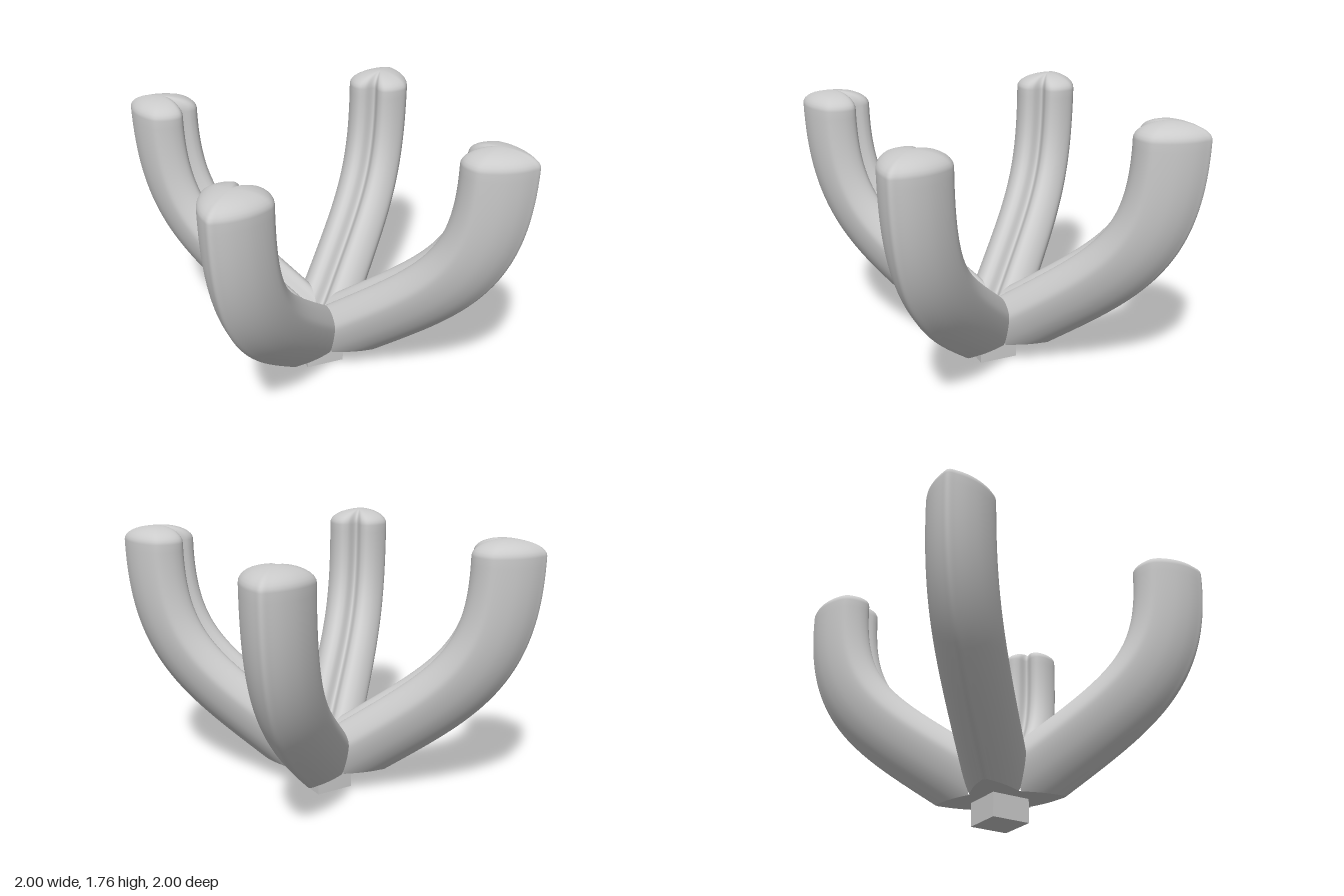
import * as THREE from 'three';

const BASE_Y = 0.157;
const SIDES = 96;

// Heart cross-section: x = outward offset, y = sideways offset
function heartProfile() {
  const half = [[-0.105, 0.05], [-0.12, 0.095], [-0.085, 0.157], [0, 0.21], [0.06, 0.207],
    [0.167, 0.166], [0.25, 0.106], [0.305, 0.043]];
  const pts = [[-0.05, 0], ...half, [0.33, 0], ...half.map(([u, s]) => [u, -s]).reverse()];
  const curve = new THREE.CatmullRomCurve3(pts.map(([u, s]) => new THREE.Vector3(u, s, 0)), true);
  return curve.getPoints(SIDES).slice(0, SIDES);
}

// One arm running out along +x, mitred against its neighbours at the centre
function armGeometries() {
  const profile = heartProfile();
  const path = new THREE.CubicBezierCurve(
    new THREE.Vector2(0.23, 0.425), new THREE.Vector2(0.83, 0.845),
    new THREE.Vector2(1.06, 1.0), new THREE.Vector2(1.06, 1.66));
  const rings = [];
  const ringAt = t => {
    const p = path.getPoint(t), d = path.getTangent(t);
    return profile.map(q => new THREE.Vector3(p.x + q.x * d.y, p.y - q.x * d.x, q.y));
  };

  // Root ring slides back to the mitre planes or to the flat underside
  const d0 = path.getTangent(0);
  const root = ringAt(0).map(v => {
    const k = Math.max(0, Math.min((v.x - Math.abs(v.z)) / d0.x, (v.y - BASE_Y) / d0.y));
    return new THREE.Vector3(v.x - k * d0.x, v.y - k * d0.y, v.z);
  });
  rings.push(root);
  for (let i = 0; i <= 36; i++) rings.push(ringAt(i / 36));

  // Domed tip, shrinking toward the middle of the heart
  const mid = new THREE.Vector3(1.14, 1.66, 0);
  const top = rings[rings.length - 1];
  for (let i = 1; i < 9; i++) {
    const a = (i / 9) * Math.PI / 2;
    rings.push(top.map(v => {
      const w = v.clone().lerp(mid, 1 - Math.cos(a));
      w.y = 1.66 + 0.1 * Math.sin(a);
      return w;
    }));
  }

  const verts = rings.flat();
  const index = [];
  for (let i = 0; i < rings.length - 1; i++) {
    for (let j = 0; j < SIDES; j++) {
      const k = (j + 1) % SIDES;
      const a = i * SIDES + j, b = i * SIDES + k;
      index.push(a, b, b + SIDES, a, b + SIDES, a + SIDES);
    }
  }
  const last = (rings.length - 1) * SIDES;
  verts.push(new THREE.Vector3(1.14, 1.76, 0));
  for (let j = 0; j < SIDES; j++) index.push(last + j, last + (j + 1) % SIDES, verts.length - 1);
  const arm = new THREE.BufferGeometry().setFromPoints(verts);
  arm.setIndex(index);
  arm.computeVertexNormals();

  // Flat underside of the root
  const flat = root.map(v => new THREE.Vector3(v.x, BASE_Y, v.z));
  flat.push(new THREE.Vector3(0, BASE_Y, 0));
  const fan = [];
  for (let j = 0; j < SIDES; j++) fan.push(SIDES, (j + 1) % SIDES, j);
  const under = new THREE.BufferGeometry().setFromPoints(flat);
  under.setIndex(fan);
  under.computeVertexNormals();
  return { arm, under };
}

export function createModel() {
  const model = new THREE.Group();
  model.name = 'fourArmHolder';
  const material = new THREE.MeshStandardMaterial({ color: 0xcccccc });
  const { arm, under } = armGeometries();

  // Four arms along the diagonals
  for (let k = 0; k < 4; k++) {
    const group = new THREE.Group();
    group.name = 'arm' + (k + 1);
    group.rotation.y = Math.PI / 4 + k * Math.PI / 2;
    const body = new THREE.Mesh(arm, material);
    body.name = 'heartSectionArm';
    const base = new THREE.Mesh(under, material);
    base.name = 'armUnderside';
    group.add(body, base);
    model.add(group);
  }

  // Square peg below the hub
  const peg = new THREE.Mesh(new THREE.BoxGeometry(0.264, 0.17, 0.264), material);
  peg.name = 'squarePeg';
  peg.position.y = 0.085;
  model.add(peg);
  return model;
}
